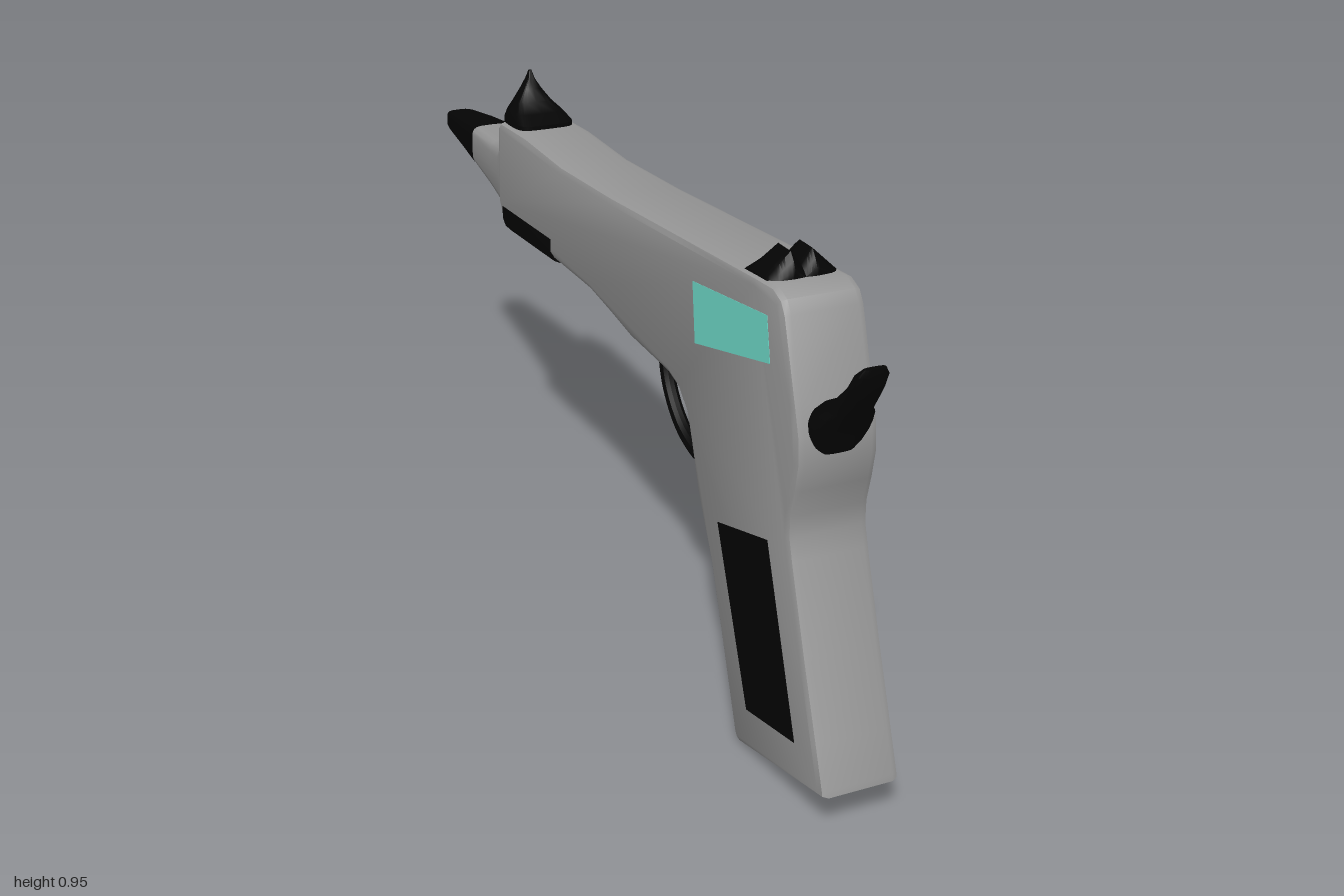
import * as THREE from 'three';
import { toCreasedNormals } from 'three/addons/utils/BufferGeometryUtils.js';

const grey = new THREE.MeshStandardMaterial({ color: 0x989898 });
const black = new THREE.MeshStandardMaterial({ color: 0x040404 });
const teal = new THREE.MeshStandardMaterial({ color: 0x74e4d2 });

function part(name, geometry, material, crease = 0.6) {
  const mesh = new THREE.Mesh(toCreasedNormals(geometry, crease), material);
  mesh.name = name;
  return mesh;
}

// Side profile of [z, y] points, extruded across x and centred, with a bevelled rim
function sideExtrude(points, width, bevel) {
  const shape = new THREE.Shape(points.map(([z, y]) => new THREE.Vector2(z, y)));
  const geometry = new THREE.ExtrudeGeometry(shape, {
    depth: width - 2 * bevel, bevelEnabled: bevel > 0, bevelSize: bevel,
    bevelThickness: bevel, bevelOffset: -bevel, bevelSegments: 2,
  });
  geometry.translate(0, 0, -(width - 2 * bevel) / 2);
  geometry.rotateY(-Math.PI / 2);
  return geometry;
}

// Rounded sections [p, qMin, qMax, halfWidth] joined along z (q is y, p rising)
// or along y (q is z, p falling); both ends are closed
function loft(axis, sections, power = 0.55, sides = 24) {
  const closed = (s) => [s[0], (s[1] + s[2]) / 2, (s[1] + s[2]) / 2, 0];
  const rings = [closed(sections[0]), ...sections, closed(sections[sections.length - 1])];
  const positions = [], index = [];
  const round = (v) => Math.sign(v) * Math.abs(v) ** power;
  rings.forEach(([p, lo, hi, half], i) => {
    for (let j = 0; j < sides; j++) {
      const a = (j / sides) * Math.PI * 2;
      const x = half * round(Math.cos(a));
      const q = (lo + hi) / 2 + ((hi - lo) / 2) * round(Math.sin(a));
      positions.push(...(axis === 'z' ? [x, q, p] : [x, p, q]));
      if (i === 0) continue;
      const k = (j + 1) % sides, low = (i - 1) * sides, up = i * sides;
      index.push(low + j, low + k, up + j, low + k, up + k, up + j);
    }
  });
  const geometry = new THREE.BufferGeometry();
  geometry.setAttribute('position', new THREE.Float32BufferAttribute(positions, 3));
  geometry.setIndex(index);
  return geometry;
}

function tube(points, radius) {
  const curve = new THREE.CatmullRomCurve3(points.map(([z, y]) => new THREE.Vector3(0, y, z)));
  return new THREE.TubeGeometry(curve, 28, radius, 10);
}

// Block with two raised ears and a notch between them, narrowing upward
function rearSightGeometry() {
  const geometry = new THREE.BoxGeometry(0.13, 1, 0.11, 26, 4, 4);
  const pos = geometry.attributes.position;
  for (let i = 0; i < pos.count; i++) {
    const x = Math.abs(pos.getX(i));
    const t = pos.getY(i) + 0.5;
    const height = x < 0.02 ? 0.03 + x * 1.3 : 0.056 - ((x - 0.02) / 0.045) * 0.042;
    pos.setY(i, 0.898 + t * height);
    pos.setZ(i, 0.69 + 0.012 * t + pos.getZ(i) * (1 - 0.6 * t * t));
  }
  return geometry;
}

export function createModel() {
  const model = new THREE.Group();
  model.name = 'pistol';

  // Body and grip in one piece
  const profile = [
    [1, 0.078], [0.997, 0.09], [0.97, 0.165], [0.92, 0.3], [0.865, 0.46], [0.853, 0.5], [0.853, 0.54],
    [0.865, 0.59], [0.874, 0.64], [0.87, 0.69], [0.855, 0.74], [0.81, 0.88], [0.795, 0.902],
    [0.765, 0.914], [0.7, 0.91], [0.4, 0.886], [0.1, 0.862], [-0.15, 0.848], [-0.35, 0.852],
    [-0.5, 0.845], [-0.515, 0.83], [-0.518, 0.66], [-0.495, 0.63], [-0.45, 0.622],
    [-0.2, 0.634], [0, 0.636], [0.1, 0.624], [0.2, 0.61], [0.37, 0.605], [0.415, 0.592],
    [0.45, 0.56], [0.47, 0.51], [0.5, 0.425], [0.56, 0.31], [0.605, 0.19], [0.67, 0.012],
    [0.677, 0.003], [0.69, 0],
  ].reverse();
  model.add(part('body', sideExtrude(profile, 0.152, 0.014), grey));

  // Tapered barrel, flaring into the body, and its dark muzzle
  model.add(part('barrel', loft('z', [
    [-0.765, 0.674, 0.762, 0.049], [-0.6, 0.658, 0.776, 0.064],
    [-0.535, 0.65, 0.783, 0.071], [-0.518, 0.647, 0.795, 0.073], [-0.49, 0.645, 0.83, 0.074],
  ], 0.4), grey));
  model.add(part('muzzle', loft('z', [
    [-1, 0.7, 0.728, 0.02], [-0.99, 0.692, 0.736, 0.03], [-0.965, 0.69, 0.741, 0.034],
    [-0.85, 0.681, 0.756, 0.044], [-0.755, 0.672, 0.765, 0.052],
  ], 0.45), black));

  // Block under the front of the body
  model.add(part('underBlock', sideExtrude([
    [-0.19, 0.69], [-0.19, 0.626], [-0.45, 0.61], [-0.485, 0.61], [-0.502, 0.625], [-0.506, 0.672],
  ], 0.1535, 0.016), black));

  // Sights on top
  model.add(part('frontSight', loft('y', [
    [0.952, -0.508, -0.502, 0.003], [0.935, -0.516, -0.494, 0.008], [0.915, -0.519, -0.485, 0.02],
    [0.89, -0.522, -0.47, 0.038], [0.873, -0.523, -0.435, 0.054],
    [0.858, -0.524, -0.398, 0.063], [0.835, -0.522, -0.398, 0.064],
  ], 0.42), black));
  model.add(part('rearSight', rearSightGeometry(), black));

  // Hammer leaning back from the rear of the body
  model.add(part('hammer', loft('y', [
    [0.842, 0.965, 0.976, 0.02], [0.828, 0.95, 0.976, 0.029], [0.8, 0.932, 0.963, 0.031],
    [0.765, 0.896, 0.942, 0.034], [0.745, 0.86, 0.928, 0.039], [0.732, 0.85, 0.918, 0.05],
    [0.71, 0.84, 0.904, 0.055], [0.69, 0.84, 0.892, 0.054], [0.668, 0.84, 0.882, 0.045],
    [0.654, 0.84, 0.876, 0.034],
  ], 0.7), black));

  // Trigger guard and trigger
  model.add(part('triggerGuard', tube([
    [0.53, 0.436], [0.44, 0.424], [0.36, 0.42], [0.28, 0.446], [0.22, 0.51], [0.192, 0.615],
  ], 0.0145), black));
  model.add(part('trigger', loft('y', [
    [0.62, 0.364, 0.38, 0.012], [0.56, 0.362, 0.376, 0.011], [0.52, 0.352, 0.366, 0.01],
    [0.485, 0.337, 0.349, 0.008], [0.465, 0.328, 0.336, 0.004],
  ], 1), black));

  // Flat panels, almost flush, on both sides
  const gripPanel = [[0.78, 0.462], [0.9, 0.13], [0.722, 0.09], [0.592, 0.405]];
  const sidePanel = [[0.755, 0.862], [0.77, 0.782], [0.488, 0.71], [0.475, 0.823]];
  for (const [side, label] of [[1, 'left'], [-1, 'right']]) {
    for (const [name, points, material] of [['GripPanel', gripPanel, black], ['SidePanel', sidePanel, teal]]) {
      const panel = part(label + name, sideExtrude(points, 0.004, 0), material);
      panel.position.x = side * 0.0746;
      model.add(panel);
    }
  }
  return model;
}
